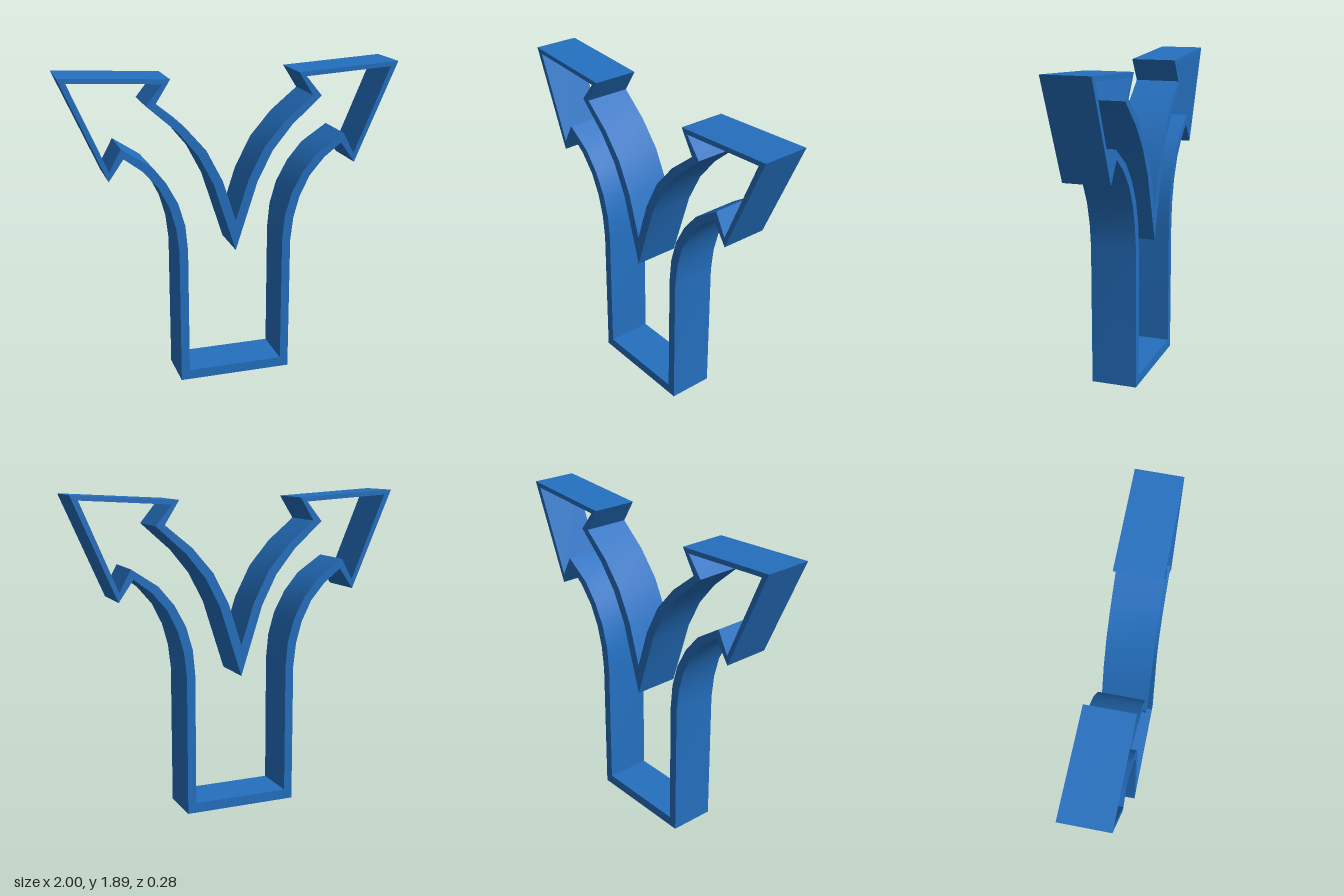
import * as THREE from 'three';
import { toCreasedNormals } from 'three/addons/utils/BufferGeometryUtils.js';

const DEPTH = 0.275;

// Right half of the outer wall, from the base up around the arrowhead to the fork
const OUTER = [
  [0.345, 0], [0.345, 0.84], [0.362, 0.985], [0.398, 1.115], [0.46, 1.24], [0.55, 1.345], [0.655, 1.425],
  [0.743, 1.3], [1, 1.893], [0.38, 1.857], [0.467, 1.72],
  [0.305, 1.587], [0.176, 1.437], [0.08, 1.25], [0, 1],
];

// Right half of the inner wall, in the same order
const INNER = [
  [0.293, 0.06], [0.293, 0.845], [0.307, 0.997], [0.347, 1.137], [0.417, 1.267], [0.51, 1.378], [0.668, 1.483],
  [0.738, 1.355], [0.953, 1.864], [0.425, 1.832], [0.521, 1.715],
  [0.342, 1.555], [0.225, 1.41], [0.134, 1.233], [0, 0.815],
];

// Closed loop: the half profile plus its mirror image (the fork point is shared)
function mirroredLoop(half) {
  const left = half.slice(0, -1).reverse().map(([x, y]) => [-x, y]);
  return [...half, ...left].map(([x, y]) => new THREE.Vector2(x, y));
}

export function createModel() {
  const group = new THREE.Group();
  group.name = 'forkedArrowCutter';

  // Thin wall following the forked arrow, open through the middle
  const shape = new THREE.Shape(mirroredLoop(OUTER));
  shape.holes.push(new THREE.Path(mirroredLoop(INNER)));
  const extruded = new THREE.ExtrudeGeometry(shape, { depth: DEPTH, bevelEnabled: false });
  extruded.translate(0, 0, -DEPTH / 2);

  // Smooth along the curved arms, sharp at the corners
  const geometry = toCreasedNormals(extruded, THREE.MathUtils.degToRad(25));
  const wall = new THREE.Mesh(geometry, new THREE.MeshStandardMaterial({ color: 0x2470c0 }));
  wall.name = 'forkedArrowWall';
  group.add(wall);
  return group;
}
